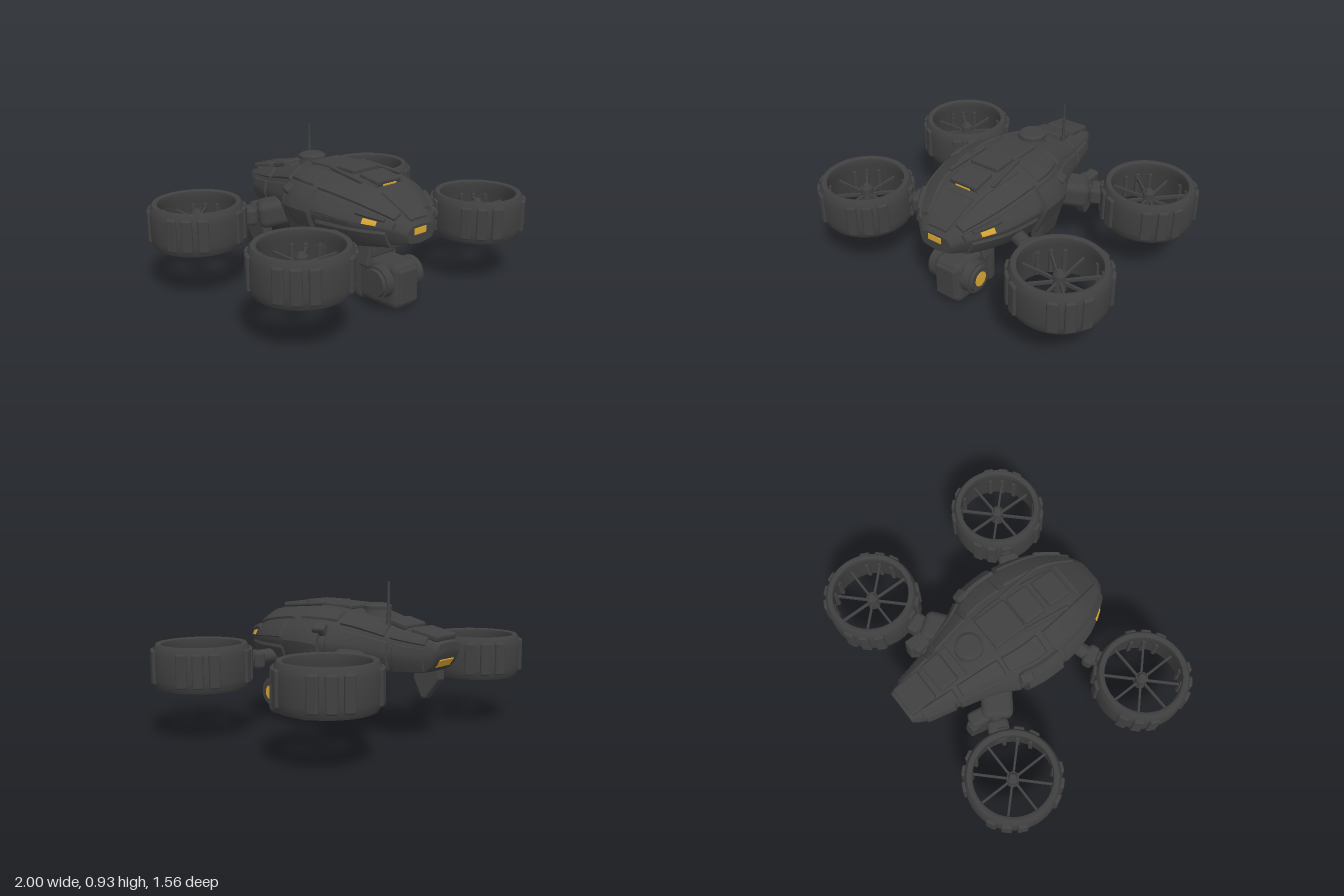
import * as THREE from 'three';
import { toCreasedNormals } from 'three/addons/utils/BufferGeometryUtils.js';
import { RoundedBoxGeometry } from 'three/addons/geometries/RoundedBoxGeometry.js';

const dark = new THREE.MeshStandardMaterial({ color: 0x404040 });
dark.name = 'dark armour';
const gold = new THREE.MeshStandardMaterial({ color: 0xd9a530 });
gold.name = 'amber light';

// Hull stations: z, top y, then x,y of plateau, shoulder, widest, lower edge, then bottom y
const stations = [
  [0.67, 0.55, 0.06, 0.548, 0.095, 0.53, 0.11, 0.505, 0.09, 0.455, 0.44],
  [0.60, 0.62, 0.09, 0.615, 0.155, 0.585, 0.185, 0.54, 0.14, 0.44, 0.42],
  [0.42, 0.725, 0.13, 0.718, 0.25, 0.65, 0.305, 0.56, 0.22, 0.42, 0.40],
  [0.20, 0.758, 0.16, 0.75, 0.295, 0.685, 0.365, 0.575, 0.27, 0.39, 0.36],
  [0.00, 0.762, 0.17, 0.752, 0.30, 0.69, 0.37, 0.575, 0.28, 0.36, 0.32],
  [-0.12, 0.755, 0.16, 0.745, 0.27, 0.685, 0.34, 0.56, 0.25, 0.36, 0.32],
  [-0.25, 0.735, 0.14, 0.725, 0.22, 0.665, 0.27, 0.55, 0.2, 0.40, 0.37],
  [-0.50, 0.67, 0.11, 0.662, 0.165, 0.61, 0.19, 0.52, 0.15, 0.42, 0.405],
  [-0.70, 0.628, 0.09, 0.623, 0.125, 0.585, 0.14, 0.52, 0.115, 0.44, 0.435],
  [-0.77, 0.60, 0.085, 0.596, 0.105, 0.58, 0.11, 0.56, 0.1, 0.535, 0.533],
];
const curve = (pts, tension) => new THREE.CatmullRomCurve3(pts, false, 'catmullrom', tension);
const rails = [0, 1, 2, 3, 4, 5].map((k) => curve(stations.map((s) => new THREE.Vector3(
  k === 0 || k === 5 ? 0 : s[2 * k], k === 0 ? s[1] : k === 5 ? s[10] : s[2 * k + 1], s[0])), 0.4));

// Point on the hull: u runs from 0 (top centre) to +-1 (bottom centre)
function hullPoint(z, u) {
  let i = 0;
  while (i < stations.length - 2 && z < stations[i + 1][0]) i++;
  const f = (stations[i][0] - z) / (stations[i][0] - stations[i + 1][0]);
  const t = THREE.MathUtils.clamp((i + f) / (stations.length - 1), 0, 1);
  const p = curve(rails.map((r) => r.getPoint(t)), 0.25).getPoint(Math.min(Math.abs(u), 1));
  if (u < 0) p.x *= -1;
  return p;
}
function lifted(z, u, h) {
  const du = hullPoint(z, u + 0.01).sub(hullPoint(z, u - 0.01));
  const dz = hullPoint(z + 0.01, u).sub(hullPoint(z - 0.01, u));
  return hullPoint(z, u).addScaledVector(dz.cross(du).normalize(), h);
}
function gridGeometry(rows, crease) {
  const m = rows[0].length, index = [];
  for (let i = 0; i < rows.length - 1; i++) for (let j = 0; j < m - 1; j++) {
    const a = i * m + j, b = a + m;
    index.push(a, b, a + 1, b, b + 1, a + 1);
  }
  const g = new THREE.BufferGeometry().setFromPoints(rows.flat());
  g.setIndex(index);
  return toCreasedNormals(g, crease);
}
const steps = (a, b, n) => Array.from({ length: n + 1 }, (_, i) => a + (b - a) * i / n);

function hullGeometry() {
  const us = steps(-1, 1, 40);
  const rows = steps(-0.77, 0.67, 36).map((z) => us.map((u) => hullPoint(z, u)));
  rows.unshift(us.map(() => new THREE.Vector3(0, 0.57, -0.77)));
  rows.push(us.map(() => new THREE.Vector3(0, 0.5, 0.67)));
  return gridGeometry(rows, 0.6);
}
// Raised plate following the hull, with bevelled edges sunk into it
function plateGeometry(z0, z1, u0, u1, h, e = 0.012) {
  const ue = 2 * e;
  const zs = [z0, ...steps(z0 + e, z1 - e, 8), z1];
  const us = [u0, ...steps(u0 + ue, u1 - ue, 6), u1];
  return gridGeometry(zs.map((z, i) => us.map((u, j) =>
    lifted(z, u, i === 0 || j === 0 || i === zs.length - 1 || j === us.length - 1 ? -0.008 : h))), 0.5);
}

export function createModel() {
  const model = new THREE.Group();
  model.name = 'quadDrone';
  const add = (name, geo, mat = dark, parent = model) => {
    const mesh = new THREE.Mesh(geo, mat);
    mesh.name = name;
    parent.add(mesh);
    return mesh;
  };
  const box = (name, [w, h, d], [x, y, z], [rx, ry, rz] = [0, 0, 0], r = 0.015, mat = dark, parent = model) => {
    const mesh = add(name, new RoundedBoxGeometry(w, h, d, 2, Math.min(r, w / 2.1, h / 2.1, d / 2.1)), mat, parent);
    mesh.position.set(x, y, z);
    mesh.rotation.set(rx, ry, rz);
    return mesh;
  };
  const rod = (name, a, b, r0, r1 = r0, parent = model, sides = 20) => {
    const A = new THREE.Vector3(...a), d = new THREE.Vector3(...b).sub(A);
    const mesh = add(name, new THREE.CylinderGeometry(r1, r0, d.length(), sides), dark, parent);
    mesh.position.copy(A).addScaledVector(d, 0.5);
    mesh.quaternion.setFromUnitVectors(new THREE.Vector3(0, 1, 0), d.normalize());
    return mesh;
  };

  // Hull and armour plates
  add('hull', hullGeometry());
  add('nosePlate', plateGeometry(0.45, 0.65, -0.19, 0.19, 0.01));
  add('spinePlate', plateGeometry(-0.16, 0.42, -0.17, 0.17, 0.008));
  add('tailPlate', plateGeometry(-0.75, -0.36, -0.17, 0.17, 0.008));
  const plates = [
    [0.12, 0.61, 0.215, 0.4], [-0.17, 0.1, 0.2, 0.38], [0.17, 0.62, 0.42, 0.6],
    [0.17, 0.58, 0.64, 0.94], [-0.1, 0.15, 0.4, 0.8, 0.022], [-0.45, -0.18, 0.2, 0.42],
    [-0.7, -0.47, 0.2, 0.42], [-0.48, -0.13, 0.45, 0.76], [-0.69, -0.5, 0.45, 0.78],
  ];
  for (const s of [-1, 1]) {
    const sidePlate = (name, z0, z1, u0, u1, h, mat, e) =>
      add(name, plateGeometry(z0, z1, s > 0 ? u0 : -u1, s > 0 ? u1 : -u0, h, e), mat);
    for (const [z0, z1, u0, u1, h = 0.013] of plates) sidePlate('sidePlate', z0, z1, u0, u1, h);
    sidePlate('eyeBrow', 0.42, 0.57, 0.43, 0.515, 0.026);
    sidePlate('eyeLight', 0.467, 0.535, 0.5, 0.58, 0.017, gold, 0.005);
    box('shoulderKnob', [0.07, 0.06, 0.08], [s * 0.32, 0.65, -0.09], [0, s * 0.3, -s * 0.6]);
    box('sideSkirt', [0.07, 0.26, 0.2], [s * 0.315, 0.435, 0.02], [0, 0, -s * 0.25], 0.025);
    box('roofRail', [0.025, 0.025, 0.3], [s * 0.14, 0.765, 0.2], [0.08, s * 0.1, 0]);
    box('bellyRail', [0.08, 0.08, 0.36], [s * 0.17, 0.36, 0.03], [0, 0, s * 0.4], 0.02);
  }

  // Roof and tail equipment
  box('frontHatch', [0.19, 0.04, 0.16], [0, 0.752, 0.34], [0.14, 0, 0]);
  box('roofHatch', [0.2, 0.05, 0.15], [0, 0.767, 0.15]);
  box('roofPanel', [0.22, 0.035, 0.22], [0, 0.766, -0.04], [-0.03, 0, 0]);
  rod('sensorBase', [0, 0.7, -0.265], [0, 0.755, -0.265], 0.09, 0.07, model, 32);
  rod('sensorCap', [0, 0.755, -0.265], [0, 0.775, -0.265], 0.085, 0.085, model, 32);
  rod('sensorTop', [0, 0.775, -0.265], [0, 0.788, -0.265], 0.085, 0.065, model, 32);
  box('tailHatch', [0.2, 0.04, 0.13], [0, 0.685, -0.48], [-0.25, 0, 0]);
  box('tailBox', [0.2, 0.04, 0.18], [0, 0.64, -0.665], [-0.2, 0, 0]);
  rod('antennaBase', [0.12, 0.64, -0.435], [0.12, 0.72, -0.435], 0.018, 0.014);
  rod('antenna', [0.12, 0.7, -0.435], [0.12, 0.93, -0.435], 0.011, 0.006, model, 10);

  // Lights and nose
  box('noseFrame', [0.2, 0.085, 0.06], [0, 0.515, 0.64], [0, 0, 0], 0.028);
  box('noseLight', [0.095, 0.04, 0.008], [-0.006, 0.515, 0.669], [0, 0, 0], 0.003, gold);
  box('browLight', [0.105, 0.012, 0.008], [0, 0.73, 0.418], [0.14, 0, 0], 0.003, gold);
  box('tailLight', [0.14, 0.055, 0.009], [0, 0.483, -0.74], [-0.63, 0, 0], 0.003, gold);

  // Belly and camera pod
  box('belly', [0.3, 0.1, 0.3], [0, 0.335, 0.03], [0, 0, 0], 0.03);
  box('bellyPad', [0.22, 0.05, 0.21], [0, 0.3, 0.035]);
  const camera = new THREE.Group();
  camera.name = 'cameraPod';
  camera.position.x = -0.008;
  model.add(camera);
  const cameraBox = (name, size, pos, r, rot = [0, 0, 0]) => box(name, size, pos, rot, r, dark, camera);
  cameraBox('cameraNeck', [0.19, 0.15, 0.17], [0, 0.355, 0.31], 0.03);
  cameraBox('cameraBody', [0.2, 0.285, 0.36], [0, 0.155, 0.415], 0.05);
  cameraBox('cameraRear', [0.21, 0.29, 0.09], [0, 0.15, 0.275], 0.04);
  cameraBox('cameraBack', [0.16, 0.25, 0.05], [0, 0.165, 0.235], 0.02);
  cameraBox('cameraFront', [0.15, 0.22, 0.04], [0, 0.155, 0.583], 0.018);
  for (const s of [-1, 1]) {
    rod('lensBarrel', [s * 0.08, 0.18, 0.475], [s * 0.15, 0.18, 0.475], 0.1, 0.097, camera, 36);
    rod('lensRim', [s * 0.15, 0.18, 0.475], [s * 0.168, 0.18, 0.475], 0.085, 0.078, camera, 36);
    cameraBox('cameraBracket', [0.05, 0.14, 0.1], [s * 0.09, 0.3, 0.33], 0.015, [0, 0, s * 0.2]);
  }
  const lens = add('lens', new THREE.CylinderGeometry(0.047, 0.047, 0.008, 32), gold, camera);
  lens.rotation.z = Math.PI / 2;
  lens.position.set(0.168, 0.18, 0.475);

  // Arms and rear fins
  const finShape = new THREE.Shape([[-0.36, 0.44], [-0.5, 0.44], [-0.51, 0.32], [-0.42, 0.2], [-0.4, 0.2], [-0.34, 0.31]]
    .map((p) => new THREE.Vector2(...p)));
  const finGeo = new THREE.ExtrudeGeometry(finShape, { depth: 0.045, bevelSize: 0.01, bevelThickness: 0.012, bevelSegments: 2 });
  finGeo.translate(0, -0.44, -0.0225).rotateY(-Math.PI / 2);
  for (const s of [-1, 1]) {
    rod('frontArm', [s * 0.28, 0.46, 0.3], [s * 0.5, 0.44, 0.38], 0.045);
    box('frontArmJoint', [0.07, 0.11, 0.13], [s * 0.41, 0.44, 0.345], [0, -s * 0.35, 0], 0.025);
    box('rearPod', [0.22, 0.16, 0.19], [s * 0.285, 0.46, -0.285], [0, s * 0.6, -s * 0.15], 0.045);
    rod('rearArm', [s * 0.3, 0.45, -0.32], [s * 0.5, 0.44, -0.41], 0.045);
    box('rearArmJoint', [0.08, 0.11, 0.13], [s * 0.415, 0.44, -0.375], [0, s * 0.4, 0], 0.025);
    const fin = add('rearFin', finGeo);
    fin.position.set(s * 0.315, s > 0 ? 0.49 : 0.44, 0);
    fin.rotation.z = -s * 0.06;
    box('finMount', [0.1, 0.1, 0.13], [s * 0.3, 0.44, -0.43], [0, s * 0.2, 0], 0.03);
  }

  // Ducted rotors
  const profile = [[0.252, -0.12], [0.255, -0.13], [0.264, -0.13], [0.278, -0.105], [0.284, -0.07], [0.284, 0.07],
    [0.278, 0.105], [0.264, 0.13], [0.25, 0.132], [0.235, 0.125], [0.231, 0.105], [0.24, 0.07], [0.252, -0.12]]
    .map((p) => new THREE.Vector2(...p));
  const duct = new THREE.Group();
  duct.name = 'ductedRotor';
  add('ductRing', toCreasedNormals(new THREE.LatheGeometry(profile, 64), 0.6), dark, duct);
  rod('hub', [0, -0.04, 0], [0, 0.06, 0], 0.04, 0.036, duct);
  rod('hubCap', [0, 0.06, 0], [0, 0.08, 0], 0.03, 0.018, duct);
  for (let i = 0; i < 8; i++) {
    const a = i * Math.PI / 4;
    box('spoke', [0.22, 0.025, 0.014], [Math.cos(a) * 0.135, 0.01, -Math.sin(a) * 0.135], [0, a, 0], 0.004, dark, duct);
  }
  // Ribs stand in threes around each diagonal
  for (let i = 0; i < 12; i++) {
    const a = (Math.floor(i / 3) * 90 + 45 + (i % 3 - 1) * 19) * Math.PI / 180, c = Math.cos(a), n = -Math.sin(a);
    box('outerRib', [0.03, 0.2, 0.065], [c * 0.283, 0, n * 0.283], [0, a, 0], 0.012, dark, duct);
    box('innerVane', [0.025, 0.16, 0.025], [c * 0.243, -0.035, n * 0.243], [0, a, 0], 0.006, dark, duct);
  }
  for (const x of [-0.714, 0.714]) for (const z of [-0.498, 0.49]) {
    const d = duct.clone();
    d.position.set(x, 0.432, z);
    model.add(d);
  }
  return model;
}
